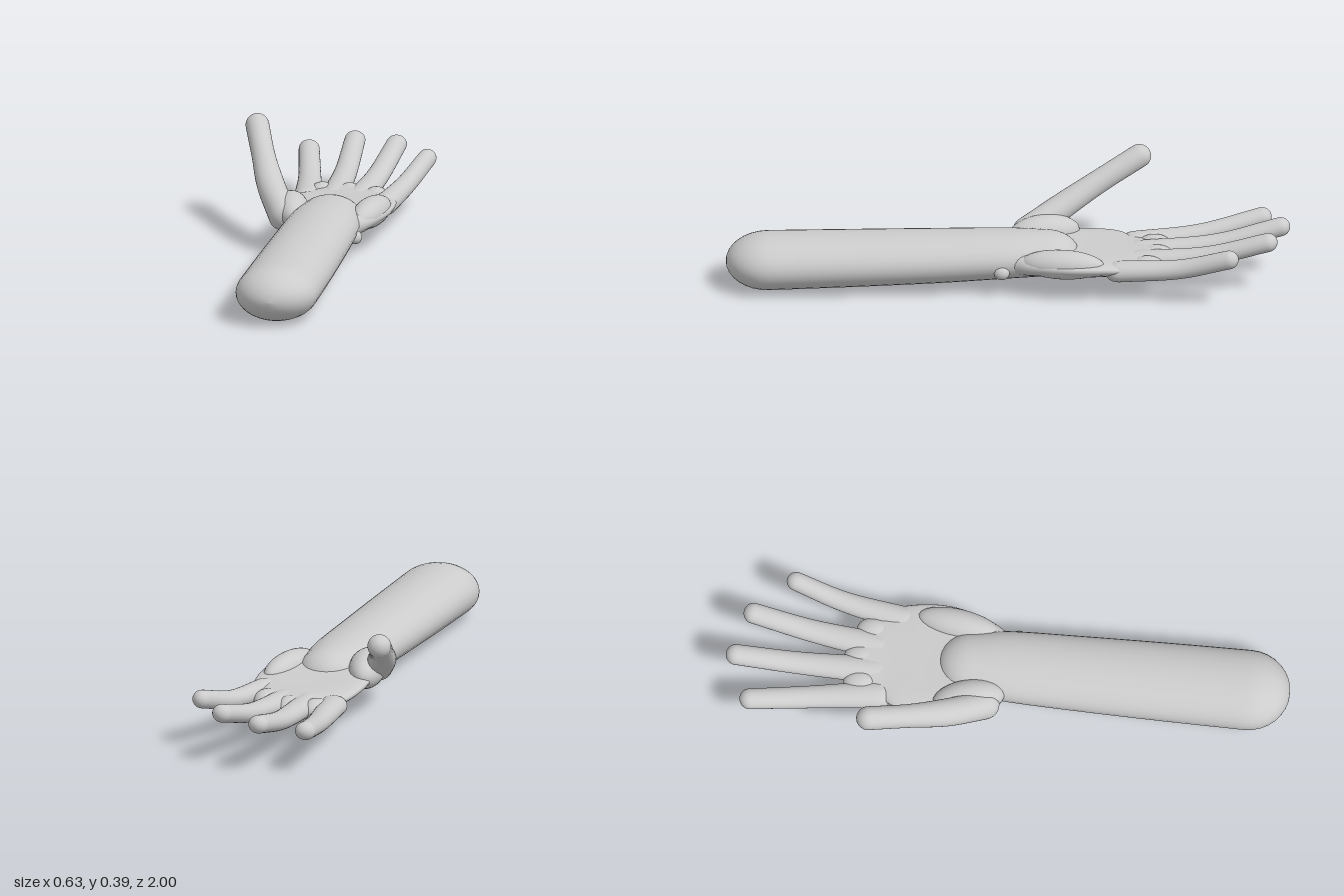
import * as THREE from 'three';

const material = new THREE.MeshStandardMaterial({ color: 0xcccccc });
const SIDES = 32, CAP = 8;

// Smooth loft through elliptical sections [x, y, z, halfWidth, halfHeight, cup], closed by domes
function loft(name, sections, capStart, capEnd, steps = 32) {
  const curve = (a) => new THREE.CatmullRomCurve3(
    sections.map((s) => new THREE.Vector3(s[a], s[a + 1], s[a + 2] || 0)), false, 'catmullrom', 0.5);
  const path = curve(0), size = curve(3);
  const rings = [];
  const addRing = (t, slide, scale) => {
    const T = path.getTangent(t);
    const S = new THREE.Vector3(0, 1, 0).cross(T).normalize();
    const U = T.clone().cross(S);
    const C = path.getPoint(t).addScaledVector(T, slide);
    const r = size.getPoint(t);
    const ring = [];
    for (let j = 0; j < SIDES; j++) {
      const a = (j / SIDES) * Math.PI * 2, c = Math.cos(a) * scale, s = Math.sin(a) * scale;
      ring.push(C.clone().addScaledVector(S, r.x * c).addScaledVector(U, r.y * s + r.z * c * c));
    }
    rings.push(ring);
  };
  for (let i = CAP; i > 0; i--) {
    const a = (i / CAP) * Math.PI / 2;
    addRing(0, -capStart * Math.sin(a), Math.cos(a));
  }
  for (let i = 0; i <= steps; i++) addRing(i / steps, 0, 1);
  for (let i = 1; i <= CAP; i++) {
    const a = (i / CAP) * Math.PI / 2;
    addRing(1, capEnd * Math.sin(a), Math.cos(a));
  }
  const index = [];
  for (let i = 0; i < rings.length - 1; i++) {
    for (let j = 0; j < SIDES; j++) {
      const k = (j + 1) % SIDES;
      const a = i * SIDES + j, b = i * SIDES + k, c = b + SIDES, d = a + SIDES;
      index.push(a, b, c, a, c, d);
    }
  }
  const geometry = new THREE.BufferGeometry().setFromPoints(rings.flat());
  geometry.setIndex(index);
  geometry.computeVertexNormals();
  const mesh = new THREE.Mesh(geometry, material);
  mesh.name = name;
  return mesh;
}

function ellipsoid(name, [x, y, z], [rx, ry, rz], yaw = 0) {
  const mesh = new THREE.Mesh(new THREE.SphereGeometry(1, 24, 16), material);
  mesh.name = name;
  mesh.position.set(x, y, z);
  mesh.scale.set(rx, ry, rz);
  mesh.rotation.y = yaw;
  return mesh;
}

export function createModel() {
  const hand = new THREE.Group();
  hand.name = 'handAndForearm';

  // Forearm, rounded at the elbow and tapering into the palm
  hand.add(loft('forearm', [
    [0.053, 0.099, 0.85, 0.147, 0.098, 0],
    [0.053, 0.105, 0.55, 0.144, 0.094, 0],
    [0.053, 0.112, 0.25, 0.138, 0.089, 0],
    [0.053, 0.12, 0, 0.13, 0.082, 0],
    [0.053, 0.12, -0.13, 0.112, 0.078, 0],
  ], 0.15, 0.12));

  // Flat, slightly cupped palm
  hand.add(loft('palm', [
    [0.055, 0.115, 0, 0.115, 0.06, 0],
    [0.055, 0.112, -0.08, 0.16, 0.054, 0.01],
    [0.06, 0.102, -0.22, 0.196, 0.045, 0.025],
    [0.055, 0.1, -0.34, 0.197, 0.04, 0.025],
    [0.053, 0.101, -0.43, 0.178, 0.036, 0.015],
    [0.04, 0.104, -0.51, 0.135, 0.034, 0],
  ], 0.05, 0.04));

  // Fleshy pads at the heel of the hand
  hand.add(ellipsoid('thumbPad', [-0.085, 0.14, -0.13], [0.065, 0.065, 0.13], 0.25));
  hand.add(ellipsoid('outerPad', [0.19, 0.13, -0.19], [0.055, 0.052, 0.15], -0.15));

  // Thumb, rising away from the palm
  hand.add(loft('thumb', [
    [-0.105, 0.135, -0.07, 0.05, 0.055, 0],
    [-0.172, 0.208, -0.2, 0.05, 0.046, 0],
    [-0.224, 0.28, -0.33, 0.042, 0.042, 0],
    [-0.273, 0.354, -0.47, 0.042, 0.042, 0],
  ], 0.05, 0.042));

  // Fingers: base, middle and tip centres
  const fingers = {
    indexFinger: [[-0.088, 0.1, -0.45], [-0.125, 0.115, -0.68], [-0.17, 0.16, -0.902]],
    middleFinger: [[0.002, 0.102, -0.46], [-0.006, 0.125, -0.73], [-0.017, 0.184, -0.965]],
    ringFinger: [[0.092, 0.102, -0.46], [0.117, 0.128, -0.7], [0.142, 0.189, -0.917]],
    littleFinger: [[0.202, 0.107, -0.39], [0.237, 0.128, -0.6], [0.279, 0.18, -0.777]],
  };
  for (const [name, [base, middle, tip]] of Object.entries(fingers)) {
    const thin = name === 'littleFinger' ? 0.9 : 1;
    hand.add(loft(name, [
      [...base, 0.05 * thin, 0.037, 0],
      [...middle, 0.041 * thin, 0.034, 0],
      [...tip, 0.037 * thin, 0.033, 0],
    ], 0.05, 0.035));
  }

  // Webs and pads where the fingers join the palm
  [[-0.05, -0.52], [0.048, -0.525], [0.15, -0.49]].forEach(([x, z]) => {
    hand.add(ellipsoid('fingerWeb', [x, 0.106, z], [0.045, 0.036, 0.06]));
  });

  // Small wrist bone
  hand.add(ellipsoid('wristBone', [0.175, 0.093, 0.025], [0.024, 0.025, 0.028]));

  return hand;
}
